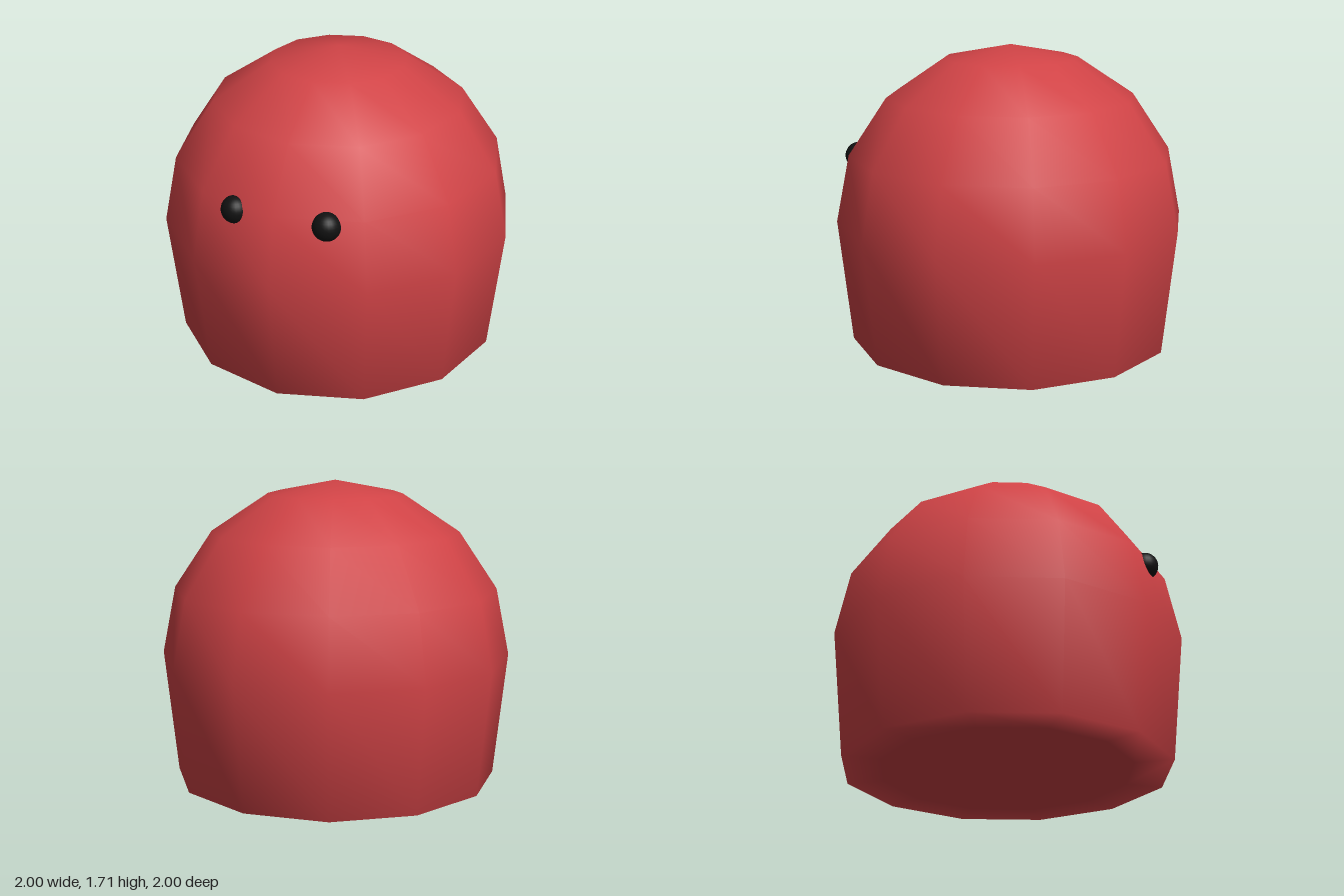
import * as THREE from 'three';
import { mergeVertices } from 'three/addons/utils/BufferGeometryUtils.js';

const BASE = Math.SQRT1_2; // distance from the dome's centre down to the flat base

export function createModel() {
  const model = new THREE.Group();
  model.name = 'blobCreature';

  // Body: coarse sphere whose lower rings are pressed onto a flat base
  const sphere = new THREE.SphereGeometry(1, 12, 8);
  const pos = sphere.attributes.position;
  for (let i = 0; i < pos.count; i++) {
    if (pos.getY(i) < -0.1) pos.setY(i, -BASE);
  }
  sphere.deleteAttribute('uv');
  sphere.deleteAttribute('normal');
  const bodyGeometry = mergeVertices(sphere, 1e-4);
  bodyGeometry.computeVertexNormals();
  const body = new THREE.Mesh(bodyGeometry, new THREE.MeshStandardMaterial({ color: 0xd04346 }));
  body.name = 'body';
  body.position.y = BASE;
  model.add(body);

  // Eyes: small dark balls half sunk into the front
  const eyeMaterial = new THREE.MeshStandardMaterial({ color: 0x111111 });
  const addEye = (name, x, z, radius) => {
    const eye = new THREE.Mesh(new THREE.SphereGeometry(radius, 24, 16), eyeMaterial);
    eye.name = name;
    eye.position.set(x, 1.05, z);
    model.add(eye);
  };
  addEye('leftEye', 0.267, 0.843, 0.078);
  addEye('rightEye', -0.253, 0.84, 0.076);

  return model;
}
